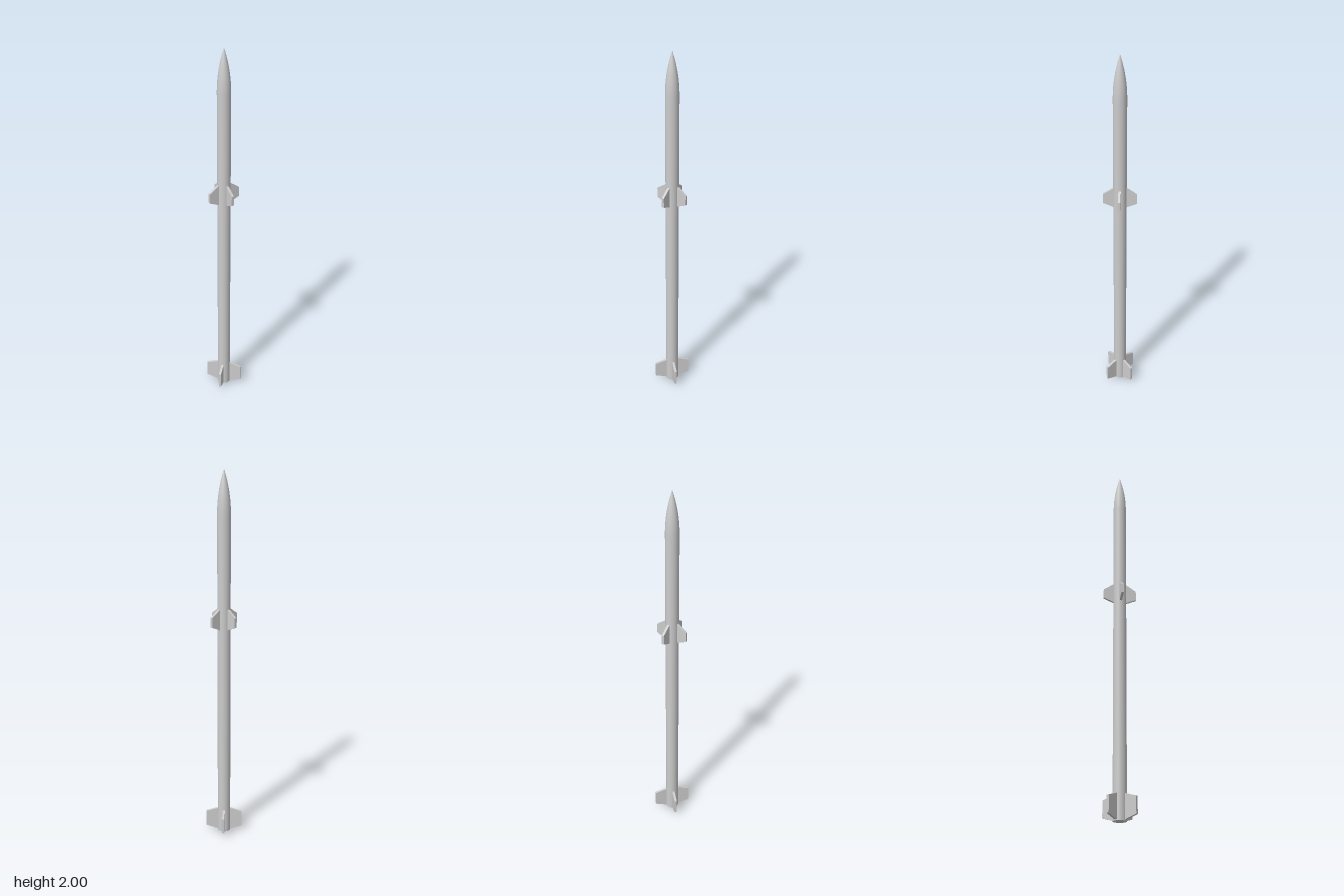
import * as THREE from 'three';

const material = new THREE.MeshStandardMaterial({ color: 0xcccccc });
const RADIUS = 0.035;
const NOSE_BASE = 1.78;
const SIDES = 48;

// Four flat trapezoid fins around the body; outline is [radius, y] pairs
function finSet(name, outline, thickness, startAngle) {
  const set = new THREE.Group();
  set.name = name;
  const shape = new THREE.Shape(outline.map(([r, y]) => new THREE.Vector2(r, y)));
  const geometry = new THREE.ExtrudeGeometry(shape, { depth: thickness, bevelEnabled: false });
  geometry.translate(0, 0, -thickness / 2);
  for (let i = 0; i < 4; i++) {
    const fin = new THREE.Mesh(geometry, material);
    fin.name = name.replace('Fins', 'Fin') + (i + 1);
    fin.rotation.y = startAngle + (i * Math.PI) / 2;
    set.add(fin);
  }
  return set;
}

export function createModel() {
  const model = new THREE.Group();
  model.name = 'rocket';

  // Straight body tube, closed at the tail
  const body = new THREE.Mesh(new THREE.CylinderGeometry(RADIUS, RADIUS, NOSE_BASE, SIDES), material);
  body.name = 'body';
  body.position.y = NOSE_BASE / 2;
  model.add(body);

  // Tangent ogive nose
  const length = 2 - NOSE_BASE;
  const rho = (RADIUS ** 2 + length ** 2) / (2 * RADIUS);
  const profile = [];
  for (let i = 0; i <= 16; i++) {
    const h = (length * i) / 16;
    const r = Math.sqrt(rho * rho - h * h) + RADIUS - rho;
    profile.push(new THREE.Vector2(i === 16 ? 0 : r, NOSE_BASE + h));
  }
  const nose = new THREE.Mesh(new THREE.LatheGeometry(profile, SIDES), material);
  nose.name = 'nose';
  model.add(nose);

  // Diagonal fins at mid height, and larger straight fins at the tail
  model.add(finSet('middleFins', [[0.02, 1.175], [0.035, 1.178], [0.088, 1.2], [0.088, 1.252], [0.035, 1.288], [0.02, 1.288]], 0.013, Math.PI / 4));
  model.add(finSet('tailFins', [[0.02, 0.005], [0.035, 0.005], [0.1, 0.025], [0.1, 0.112], [0.035, 0.132], [0.02, 0.132]], 0.013, 0));

  return model;
}
